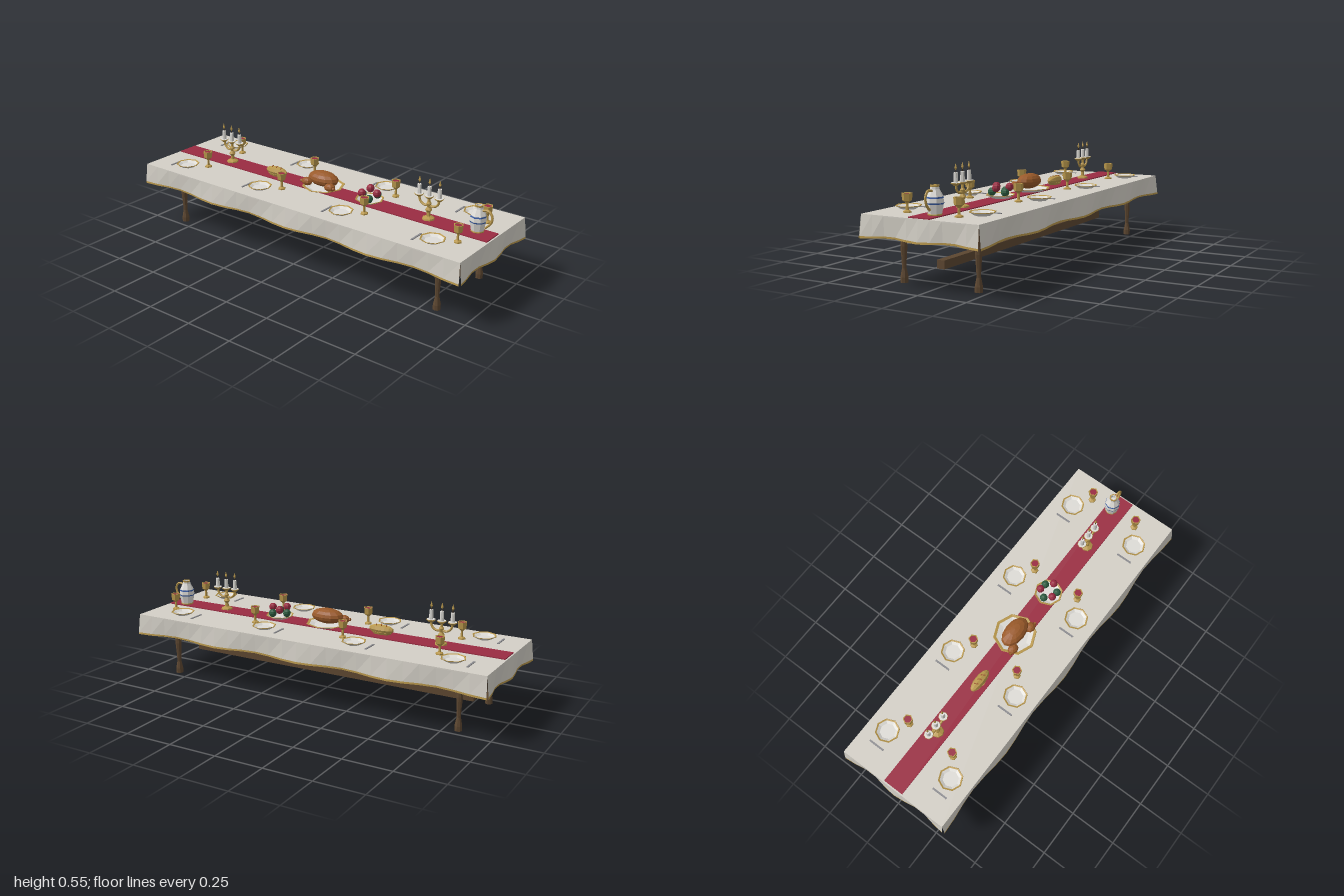
import * as THREE from 'three';

const mat = (name, color, double) => {
  const m = new THREE.MeshStandardMaterial({ color, flatShading: true });
  m.name = name;
  if (double) m.side = THREE.DoubleSide;
  return m;
};

export function createModel() {
  const root = new THREE.Group();
  root.name = 'banquetTable';
  const linen = mat('linen', 0xd3cfc6, true);
  const crimson = mat('crimson', 0x9a2c42);
  const wood = mat('wood', 0x5c4630);
  const darkWood = mat('darkWood', 0x40301f);
  const gold = mat('gold', 0xb8974c, true);
  const roastBrown = mat('roastBrown', 0x9a5a2a);
  const green = mat('green', 0x2c5c40);
  const blue = mat('blue', 0x3a5ea8);
  const silver = mat('silver', 0x8c8c90);
  const ceramic = mat('ceramic', 0xdddbd6);

  const add = (parent, name, geo, material, x = 0, y = 0, z = 0) => {
    const m = new THREE.Mesh(geo, material);
    m.name = name;
    m.position.set(x, y, z);
    parent.add(m);
    return m;
  };
  const group = (name, x, y, z) => {
    const g = new THREE.Group();
    g.name = name;
    g.position.set(x, y, z);
    root.add(g);
    return g;
  };
  const box = (w, h, d) => new THREE.BoxGeometry(w, h, d);
  const lathe = (pts, sides, start = 0) =>
    new THREE.LatheGeometry(pts.map(p => new THREE.Vector2(...p)), sides, start);
  const ball = (r, w = 8, h = 6) => new THREE.SphereGeometry(r, w, h);

  // Table: top, turned legs and stretcher
  add(root, 'tableTop', box(1.95, 0.035, 0.6), darkWood, 0, 0.31, 0);
  const legProfile = [[0, 0], [0.019, 0], [0.019, 0.025], [0.0105, 0.067], [0.0115, 0.1],
    [0.0165, 0.17], [0.0115, 0.225], [0.0115, 0.3]];
  for (const x of [-0.82, 0.82]) for (const z of [-0.2, 0.2])
    add(root, 'leg', lathe(legProfile, 8), wood, x, 0, z);
  add(root, 'stretcher', box(1.64, 0.04, 0.04), wood, 0, 0.103, 0);

  // Tablecloth: flat top with four rippled hanging panels and gold hems
  add(root, 'clothTop', box(1.975, 0.006, 0.614), linen, 0, 0.33, 0);
  const panel = (length, waves, n, t0, t1) => {
    const g = new THREE.PlaneGeometry(length, 1, n, 1);
    const p = g.attributes.position;
    for (let i = 0; i < p.count; i++) {
      const x = p.getX(i);
      const t = p.getY(i) > 0 ? t0 : t1;
      const ripple = Math.cos(x / length * Math.PI * 2 * waves);
      p.setXYZ(i, x * (1 + 0.006 * t), 0.333 - t * (0.105 + 0.004 * ripple), t * (0.003 + 0.0095 * ripple));
    }
    return g;
  };
  const sides = [[1.975, 4, 24, 0, 0.307], [1.975, 4, 24, Math.PI, 0.307],
    [0.614, 2, 10, Math.PI / 2, 0.9875], [0.614, 2, 10, -Math.PI / 2, 0.9875]];
  for (const [len, waves, n, angle, dist] of sides) {
    const g = group('clothSide', Math.sin(angle) * dist, 0, Math.cos(angle) * dist);
    g.rotation.y = angle;
    add(g, 'clothPanel', panel(len, waves, n, 0, 0.91), linen);
    add(g, 'clothHem', panel(len, waves, n, 0.91, 1), gold);
  }
  add(root, 'runner', box(1.96, 0.005, 0.112), crimson, 0, 0.3355, 0);

  // Dish with a gold rim
  const dish = (name, r, h, x, y, z) => {
    const g = group(name, x, y, z);
    add(g, 'dishBody', lathe([[0, 0], [r * 0.6, 0], [r, h], [r * 0.65, 0.005], [0, 0.005]], 8), ceramic);
    add(g, 'dishRim', lathe([[r, h - 0.002], [r * 1.02, h], [r, h + 0.002], [r * 0.88, h - 0.001]], 8), gold);
  };

  // Place settings: plate, knife and filled goblet
  const goblet = [[0, 0], [0.02, 0], [0.019, 0.006], [0.007, 0.012], [0.006, 0.04], [0.011, 0.047],
    [0.022, 0.055], [0.025, 0.088], [0.02, 0.088], [0.019, 0.08]];
  for (const px of [-0.78, -0.26, 0.26, 0.78]) for (const s of [-1, 1]) {
    dish('plate', 0.061, 0.016, px, 0.336, s * 0.198);
    add(root, 'knife', box(0.009, 0.004, 0.085), silver, px - 0.087, 0.335, s * 0.198);
    const g = group('goblet', px + 0.095, 0.336, s * 0.137);
    add(g, 'gobletCup', lathe(goblet, 6, Math.PI / 6), gold);
    add(g, 'wine', new THREE.CylinderGeometry(0.02, 0.02, 0.004, 6).rotateY(Math.PI / 6), crimson, 0, 0.082, 0);
  }

  // Roast on its platter
  dish('platter', 0.11, 0.017, 0, 0.338, 0);
  add(root, 'roastBody', ball(1, 12, 8), roastBrown, 0, 0.391, 0).scale.set(0.09, 0.039, 0.053);
  for (const s of [-1, 1]) {
    const leg = add(root, 'drumstick', ball(1), roastBrown, s * 0.073, 0.372, 0.043);
    leg.scale.set(0.031, 0.021, 0.026);
    const bone = add(root, 'drumstickBone', new THREE.CylinderGeometry(0.006, 0.008, 0.04, 6), roastBrown,
      s * 0.088, 0.372, 0.05);
    bone.rotation.z = s * Math.PI / 2;
  }

  // Bread loaf with scored crust
  const loaf = group('loaf', -0.305, 0.362, 0.01);
  add(loaf, 'loafBody', ball(1, 8, 8).rotateZ(Math.PI / 2), gold).scale.set(0.068, 0.025, 0.027);
  add(loaf, 'loafBase', new THREE.CylinderGeometry(1, 0.8, 1, 8), gold, 0, -0.018, 0).scale.set(0.06, 0.012, 0.027);
  for (const x of [-0.028, 0, 0.028]) {
    const cut = add(loaf, 'loafScore', box(0.006, 0.004, 0.024), roastBrown, x, 0.0225 - Math.abs(x) * 0.08, 0);
    cut.rotation.y = 0.5;
  }

  // Fruit dish with a ring of red and green fruit
  dish('fruitDish', 0.073, 0.017, 0.29, 0.338, 0);
  for (let i = 0; i < 6; i++) {
    const a = i * Math.PI / 3;
    add(root, 'fruit', ball(0.021), i % 2 ? green : crimson,
      0.29 + Math.cos(a) * 0.043, i % 2 ? 0.369 : 0.392, Math.sin(a) * 0.043);
  }

  // Candelabra with three candles
  const stem = [[0, 0], [0.032, 0], [0.03, 0.007], [0.011, 0.016], [0.009, 0.035], [0.017, 0.048],
    [0.008, 0.062], [0.013, 0.08], [0.007, 0.09], [0.007, 0.112]];
  for (const cx of [-0.633, 0.633]) {
    const g = group('candelabra', cx, 0.338, 0);
    add(g, 'candelabraStem', lathe(stem, 8), gold);
    for (const s of [-1, 0, 1]) {
      const x = s * 0.056;
      if (s) {
        const curve = new THREE.CatmullRomCurve3([[0, 0.07], [0.5, 0.068], [0.9, 0.085], [1, 0.112]]
          .map(([k, y]) => new THREE.Vector3(k * x, y, 0)));
        add(g, 'candelabraArm', new THREE.TubeGeometry(curve, 8, 0.006, 6), gold);
      }
      add(g, 'candleCup', lathe([[0, 0], [0.011, 0], [0.024, 0.012], [0.022, 0.014]], 8), gold, x, 0.105, 0);
      add(g, 'waxPool', new THREE.CylinderGeometry(0.022, 0.022, 0.003, 8), ceramic, x, 0.1185, 0);
      add(g, 'candle', new THREE.CylinderGeometry(0.01, 0.011, 0.046, 8), ceramic, x, 0.143, 0);
      add(g, 'wick', new THREE.CylinderGeometry(0.002, 0.002, 0.012, 5), darkWood, x, 0.171, 0);
      add(g, 'flame', lathe([[0, 0], [0.0065, 0.012], [0, 0.036]], 6), gold, x, 0.174, 0);
    }
  }

  // Jug with painted bands and a gold handle
  const jug = group('jug', 0.888, 0.338, -0.021);
  add(jug, 'jugBody', lathe([[0, 0], [0.03, 0], [0.032, 0.008], [0.041, 0.058], [0.037, 0.085],
    [0.021, 0.116], [0.019, 0.13], [0.015, 0.13], [0.014, 0.11], [0, 0.11]], 8), ceramic);
  add(jug, 'jugRim', lathe([[0.0185, 0.118], [0.021, 0.133], [0.015, 0.133]], 8), gold);
  add(jug, 'jugFoot', lathe([[0.031, 0], [0.0335, 0.002], [0.0335, 0.005], [0.032, 0.008]], 8), gold);
  add(jug, 'jugBand', lathe([[0.0405, 0.05], [0.042, 0.056]], 8), blue);
  add(jug, 'jugBand', lathe([[0.0395, 0.076], [0.038, 0.083]], 8), blue);
  const handle = new THREE.CatmullRomCurve3([[0.018, 0.107], [0.05, 0.113], [0.071, 0.09], [0.066, 0.055],
    [0.04, 0.026]].map(([x, y]) => new THREE.Vector3(x, y, 0)));
  add(jug, 'jugHandle', new THREE.TubeGeometry(handle, 12, 0.006, 6), gold);

  return root;
}
